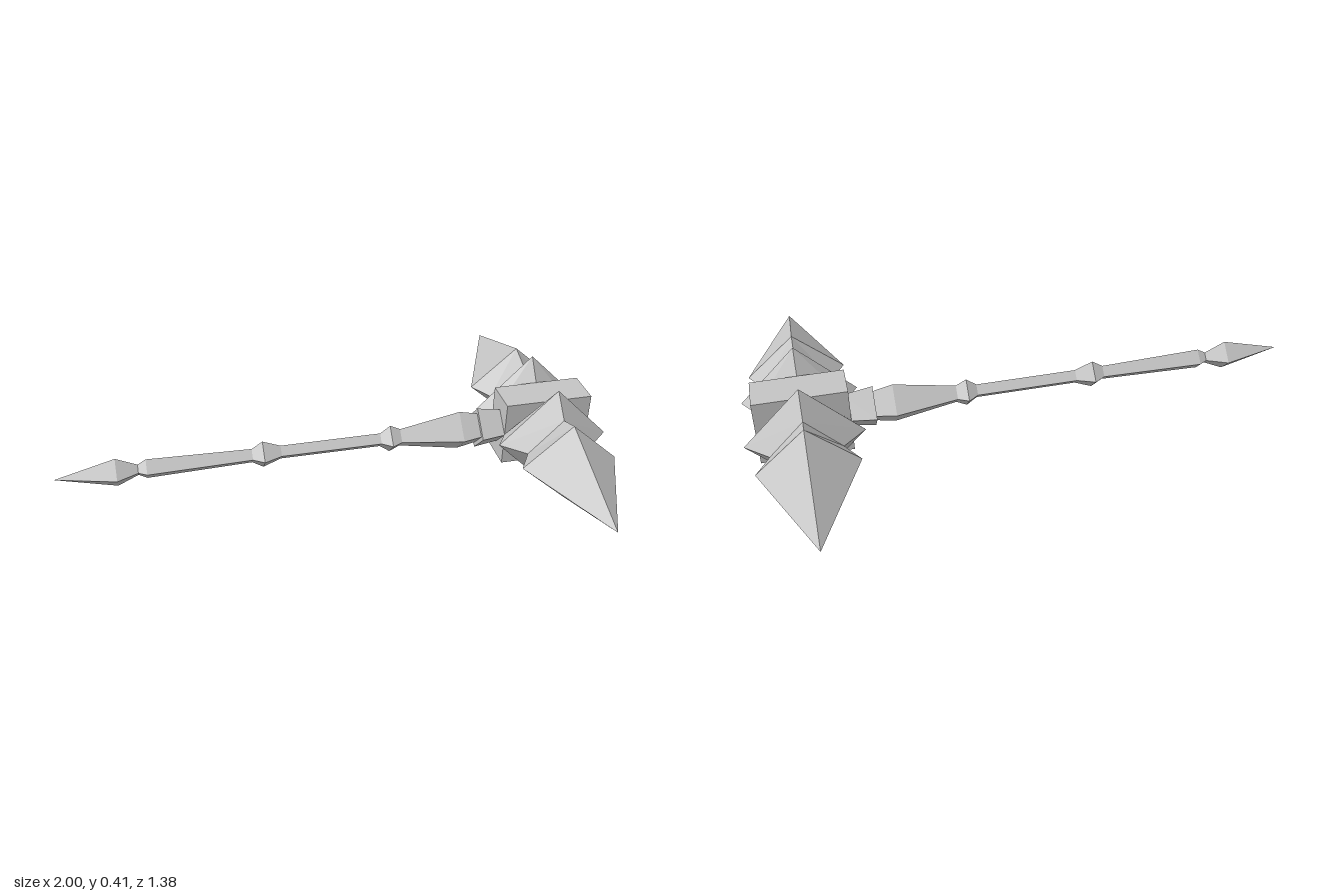
import * as THREE from 'three';

const metal = new THREE.MeshStandardMaterial({ color: 0xc4c4c4 });
metal.name = 'grey metal';

// Four-sided diamond loft along +z; each station is [z, halfWidth, halfHeight].
function diamondLoft(stations) {
  const pos = [];
  const corner = ([z, w, h], j) => [
    [w, 0, z], [0, h, z], [-w, 0, z], [0, -h, z],
  ][j % 4];
  for (let i = 0; i < stations.length - 1; i++) {
    const s = stations[i], e = stations[i + 1];
    for (let j = 0; j < 4; j++) {
      const a = corner(s, j), b = corner(s, j + 1);
      const c = corner(e, j + 1), d = corner(e, j);
      // Alternate the diagonal so all four facets mirror each other.
      const tris = j % 2 ? [[a, b, d], [b, c, d]] : [[a, b, c], [a, c, d]];
      for (const t of tris) {
        const [p, q, r] = t.map((v) => new THREE.Vector3(...v));
        if (q.sub(p).cross(r.sub(p)).length() > 1e-7) pos.push(...t.flat());
      }
    }
  }
  const g = new THREE.BufferGeometry();
  g.setAttribute('position', new THREE.Float32BufferAttribute(pos, 3));
  g.computeVertexNormals();
  return g;
}

export function createModel() {
  const group = new THREE.Group();
  const midY = 0.21, headX = 0.791;
  const add = (name, geometry, x) => {
    const mesh = new THREE.Mesh(geometry, metal);
    mesh.name = name;
    mesh.position.set(x, midY, 0);
    group.add(mesh);
    return mesh;
  };
  const alongX = (profile) =>
    diamondLoft(profile.map(([x, r]) => [x, r, r])).rotateY(Math.PI / 2);

  // Pointed pommel, grip with two knuckles, and flared neck
  add('pommel', alongX([[-1, 0], [-0.785, 0.058], [-0.71, 0.022]]), 0);
  add('handle', alongX([
    [-0.71, 0.022], [-0.68, 0.04], [-0.305, 0.029], [-0.265, 0.055],
    [-0.2, 0.028], [0.17, 0.028], [0.207, 0.056], [0.245, 0.036],
    [0.47, 0.08], [0.54, 0.064], [0.54, 0],
  ]), 0);

  // Collar joining the handle to the head
  add('collar', alongX([[0.54, 0], [0.54, 0.085], [0.65, 0.066], [0.65, 0]]), 0);

  // Central head block
  add('headBlock', new THREE.BoxGeometry(0.326, 0.25, 0.136), headX);

  // Ridged ring and long spike on both sides of the block
  const spike = diamondLoft([
    [0.066, 0, 0], [0.066, 0.163, 0.125], [0.128, 0.205, 0.205],
    [0.202, 0.123, 0.125], [0.284, 0.174, 0.154], [0.688, 0, 0],
  ]);
  add('frontSpike', spike, headX);
  add('backSpike', spike, headX).rotation.y = Math.PI;

  return group;
}
